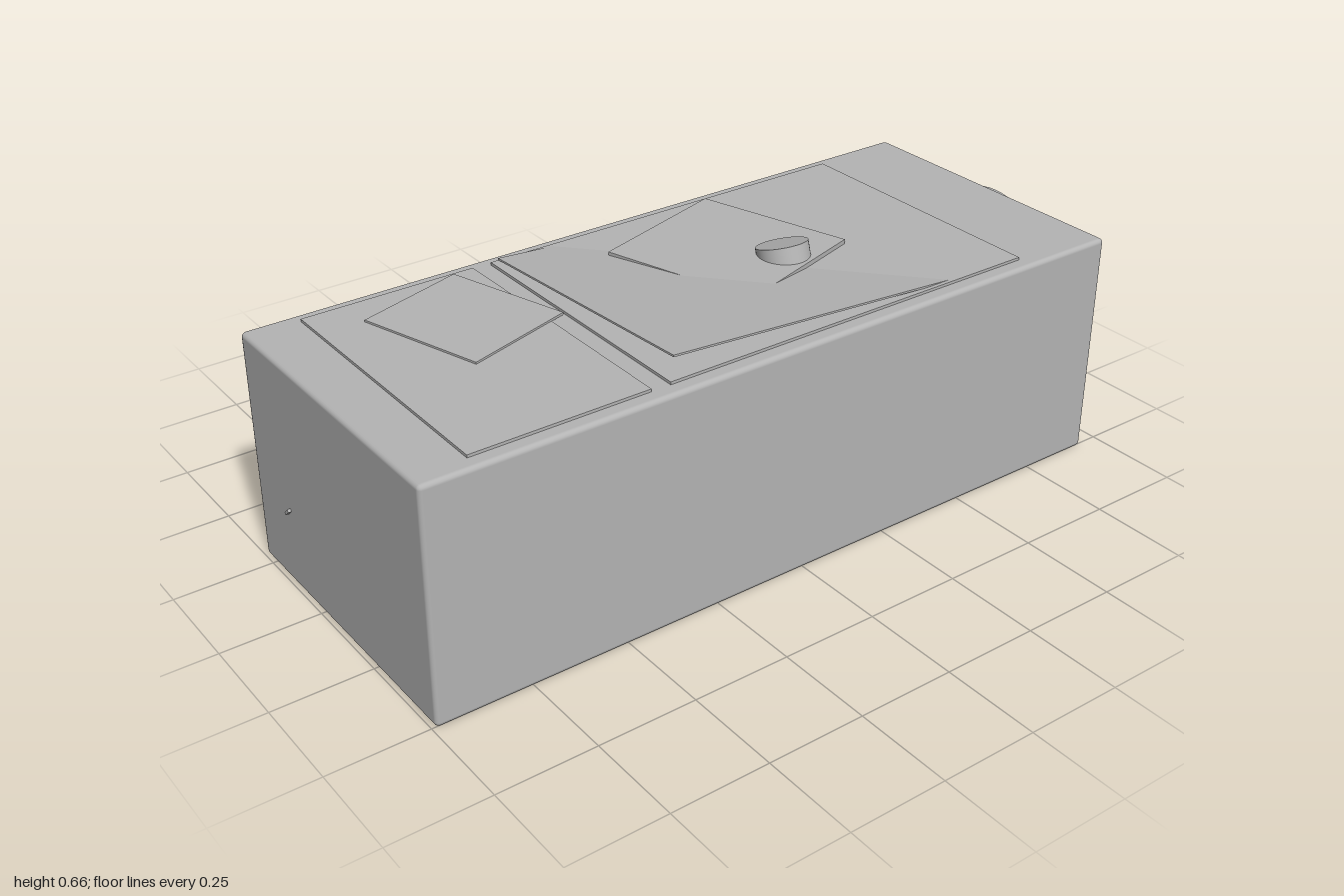
import * as THREE from 'three';
import { RoundedBoxGeometry } from 'three/addons/geometries/RoundedBoxGeometry.js';

export function createModel() {
  const group = new THREE.Group();
  const grey = new THREE.MeshStandardMaterial({ color: 0xb4b4b4 });
  grey.name = 'metalGrey';
  const black = new THREE.MeshStandardMaterial({ color: 0x0c0c0c });
  black.name = 'socketBlack';

  const add = (name, geometry, material, x = 0, y = 0, z = 0, rx = 0, ry = 0, rz = 0) => {
    const mesh = new THREE.Mesh(geometry, material);
    mesh.name = name;
    mesh.position.set(x, y, z);
    mesh.rotation.set(rx, ry, rz);
    group.add(mesh);
    return mesh;
  };
  const box = (w, h, d) => new THREE.BoxGeometry(w, h, d);

  // Housing with narrow softened edges
  add('housing', new RoundedBoxGeometry(0.806, 0.595, 1.932, 2, 0.012), grey, 0.105, 0.2975, 0.026);

  // Flat panels on the lid
  add('rearPanel', box(0.73, 0.012, 1.04), grey, 0.105, 0.596, -0.16);
  add('frontPanel', box(0.73, 0.012, 0.45), grey, 0.105, 0.596, 0.635);

  // Turned labels lying on the panels
  add('rearLabel', box(0.42, 0.013, 0.4), grey, 0.02, 0.607, -0.14, 0, 0.3, 0);
  add('frontLabel', box(0.335, 0.006, 0.295), grey, -0.045, 0.604, 0.56, 0, 0.3, 0);

  // Lifted sheet: rises toward the front and the left
  const sheet = box(0.71, 0.005, 1.0);
  sheet.translate(0.105, 0, -0.155);
  const p = sheet.attributes.position;
  for (let i = 0; i < p.count; i++) {
    const rise = 0.069 * (p.getZ(i) + 0.45) + 0.063 * (p.getX(i) - 0.46);
    p.setY(i, p.getY(i) + 0.6 + rise);
  }
  sheet.computeVertexNormals();
  add('liftedSheet', sheet, grey);

  // Leaning knob
  add('knob', new THREE.CylinderGeometry(0.065, 0.065, 0.06, 40), grey, 0.135, 0.608, -0.222, 0, 0, 0.3);

  // Round fan cover on the back
  add('fanCover', new THREE.CylinderGeometry(0.206, 0.206, 0.035, 56), grey, 0.105, 0.373, -0.95, Math.PI / 2);

  // Power socket with stepped rim and three pins
  add('socketBody', box(0.156, 0.105, 0.05), black, -0.185, 0.123, -0.96);
  add('socketRim', box(0.14, 0.08, 0.02), black, -0.185, 0.123, -0.987);
  for (let i = 0; i < 3; i++) {
    add('socketPin', box(0.012, 0.032, 0.006), grey,
      -0.22 + i * 0.035, i === 1 ? 0.136 : 0.112, -0.996);
  }

  // Connector block beside the housing
  add('connector', new RoundedBoxGeometry(0.105, 0.085, 0.575, 1, 0.004), grey, -0.452, 0.262, 0.308, 0.19, 0, -0.17);

  // Fan of cables running from the housing to the connector
  [0.19, 0.28, 0.37, 0.46].forEach((endZ, i) => {
    const endX = -0.435 - Math.min(i, 2) * 0.009;
    const path = new THREE.CatmullRomCurve3([
      new THREE.Vector3(-0.28, 0.342, 0.86),
      new THREE.Vector3(-0.335, 0.35, 0.86 + (endZ - 0.86) * 0.32),
      new THREE.Vector3(-0.395, 0.326, 0.86 + (endZ - 0.86) * 0.68),
      new THREE.Vector3(endX, 0.296, endZ),
    ]);
    add('cable', new THREE.TubeGeometry(path, 28, 0.02, 14), grey);
    // Closed cable tip
    const tip = add('cableTip', new THREE.CircleGeometry(0.02, 14), grey, endX, 0.296, endZ);
    tip.lookAt(path.getPoint(1).add(path.getTangent(1)));
  });

  // Tiny latch on the front
  add('frontLatch', box(0.022, 0.008, 0.012), grey, -0.134, 0.203, 0.994, 0, 0, 0.75);

  return group;
}
